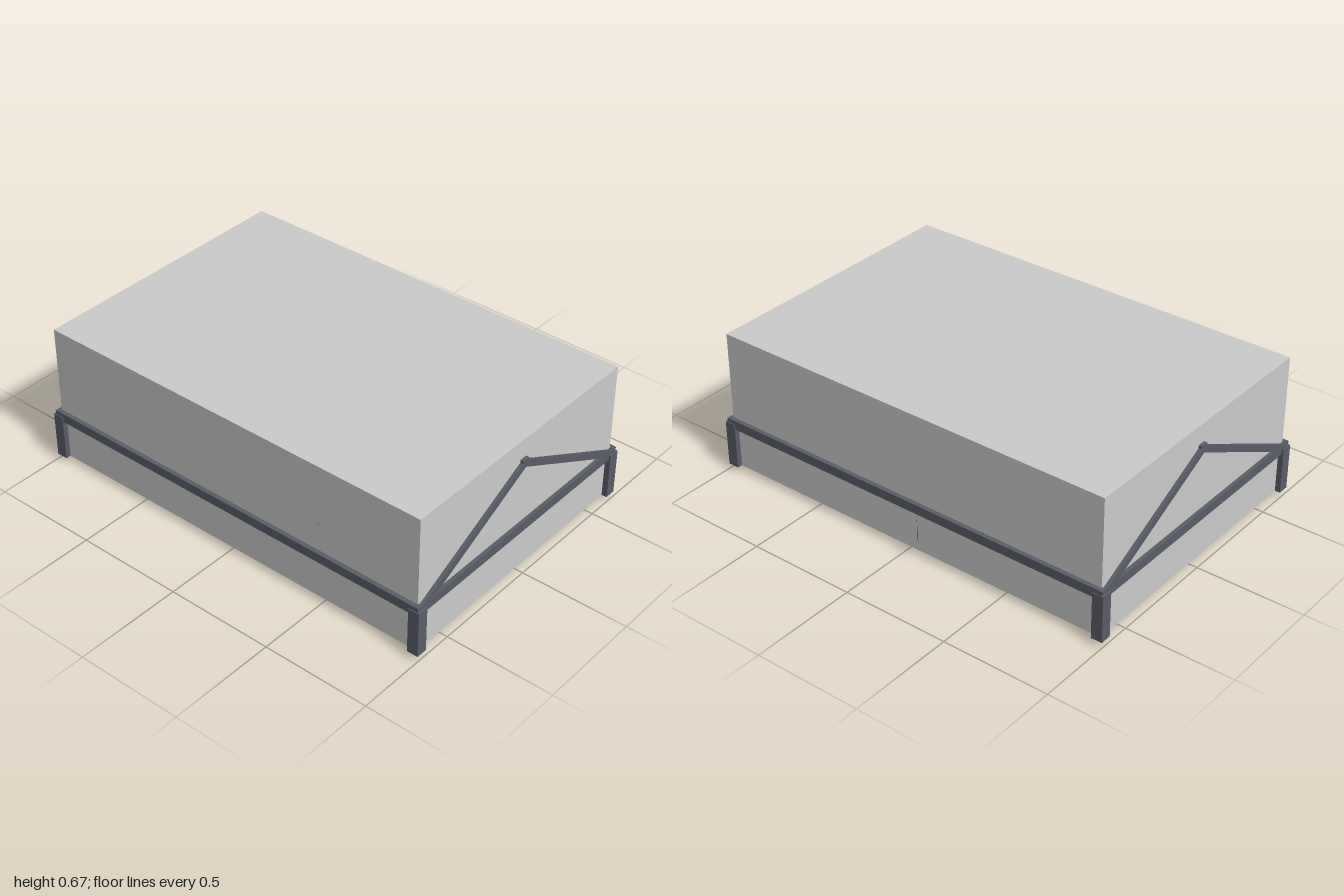
import * as THREE from 'three';

const CX = -0.015; // centre line of the building

export function createModel() {
  const model = new THREE.Group();
  const grey = new THREE.MeshStandardMaterial({ color: 0xcccccc });
  const steel = new THREE.MeshStandardMaterial({ color: 0x5a5e68 });
  const glass = new THREE.MeshStandardMaterial({ color: 0x5a6e6a, side: THREE.DoubleSide, flatShading: true });

  const box = (name, mat, w, h, d, x, y, z) => {
    const mesh = new THREE.Mesh(new THREE.BoxGeometry(w, h, d), mat);
    mesh.name = name;
    mesh.position.set(x, y, z);
    model.add(mesh);
    return mesh;
  };

  // Solid hall
  box('hallBlock', grey, 1.295, 0.646, 1.948, CX, 0.35, 0);

  // Gable rafters as one chevron outline
  const chevron = new THREE.Shape([
    [-0.645, 0.255], [0, 0.58], [0.645, 0.255], [0.575, 0.255], [0, 0.547], [-0.575, 0.255],
  ].map(([x, y]) => new THREE.Vector2(x, y)));
  const rafterGeometry = new THREE.ExtrudeGeometry(chevron, { depth: 0.018, bevelEnabled: false });
  rafterGeometry.translate(CX, 0, -0.009);

  for (const s of [-1, 1]) {
    // Frame at each gable end
    const rafters = new THREE.Mesh(rafterGeometry, steel);
    rafters.name = 'gableRafters';
    rafters.position.z = s * 0.981;
    model.add(rafters);
    box('gableBeam', steel, 1.3, 0.042, 0.02, CX, 0.241, s * 0.981);
    box('ridgeCap', steel, 0.038, 0.014, 0.016, CX, 0.577, s * 0.981);

    // Long side beam and its corner posts
    box('sideBeam', steel, 0.022, 0.043, 1.98, CX + s * 0.657, 0.242, 0);
    for (const e of [-1, 1]) {
      box('cornerPost', steel, 0.052, 0.217, 0.052, CX + s * 0.646, 0.1355, e * 0.973);
      box('cornerCap', steel, 0.026, 0.02, 0.026, CX + s * 0.655, 0.252, e * 0.978);
    }
  }

  // Loose splinters
  const shard = (points) => {
    const geometry = new THREE.BufferGeometry();
    geometry.setAttribute('position', new THREE.Float32BufferAttribute(points, 3));
    geometry.computeVertexNormals();
    const mesh = new THREE.Mesh(geometry, glass);
    mesh.name = 'shard';
    model.add(mesh);
  };
  shard([0.664, 0.22, -0.083, 0.66, 0.12, -0.08, 0.685, 0.107, -0.107]);
  shard([-0.687, 0.403, 0.485, -0.655, 0.405, 0.475, -0.655, 0.4, 0.492]);
  shard([0.637, 0.045, 0.94, 0.637, 0.035, 0.91, 0.625, 0.035, 0.92]);

  // Splinters under the floor: x, z, size, depth below the floor
  [
    [0.46, -0.517, 0.04, 0.025], [0.33, -0.68, 0.035, 0.01], [0.15, -0.377, 0.015, 0.005],
    [-0.056, -0.76, 0.035, 0.01], [-0.011, -0.54, 0.025, 0.008], [-0.312, -0.84, 0.03, 0.007],
    [-0.58, -0.715, 0.04, 0.012], [-0.515, -0.59, 0.03, 0.007], [-0.03, 0.1, 0.055, 0.012],
    [-0.55, -0.04, 0.035, 0.009], [-0.07, 0.645, 0.03, 0.008], [-0.4, 0.73, 0.045, 0.007],
    [0.457, 0.42, 0.015, 0.004], [-0.43, 0.52, 0.02, 0.006],
  ].forEach(([x, z, r, drop], i) => {
    const y = 0.027;
    const a = i * 2.1;
    const c = Math.cos(a) * r, s = Math.sin(a) * r;
    shard([x - c, y, z - s, x + c, y - drop, z + s, x - s * 0.6, y - drop * 0.4, z + c * 0.6]);
  });

  return model;
}
